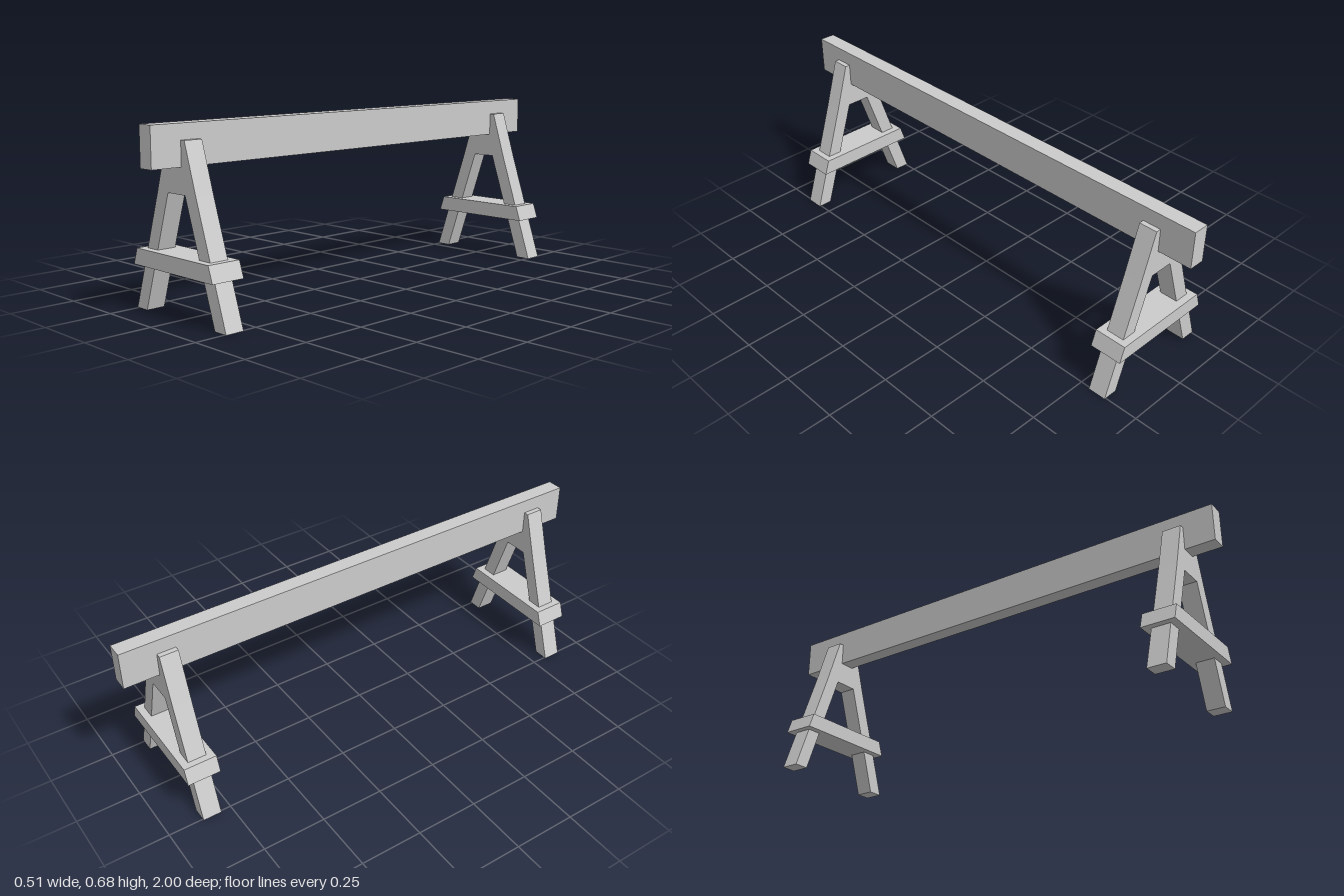
import * as THREE from 'three';

const material = new THREE.MeshStandardMaterial({ color: 0xcccccc, flatShading: true });

// Extrudes an outline mirrored across x = 0, centred on z. Points run along the +x half.
function mirroredPlate(name, half, depth) {
  const left = half.map(([x, y]) => [-x, y]).reverse();
  const shape = new THREE.Shape([...half, ...left].map(([x, y]) => new THREE.Vector2(x, y)));
  const geometry = new THREE.ExtrudeGeometry(shape, { depth, bevelEnabled: false });
  geometry.translate(0, 0, -depth / 2);
  const mesh = new THREE.Mesh(geometry, material);
  mesh.name = name;
  return mesh;
}

function createTrestle(name, z) {
  const trestle = new THREE.Group();
  trestle.name = name;
  // A-shaped legs joined by a solid web, notched at the top for the beam
  trestle.add(mirroredPlate('legFrame', [
    [0.049, 0.44], [0.197, 0], [0.257, 0], [0.11, 0.44],
    [0.052, 0.626], [0.032, 0.626], [0.032, 0.535],
  ], 0.073));
  // Cross rail with slanted ends, wrapping both legs
  trestle.add(mirroredPlate('crossRail', [[0.227, 0.169], [0.206, 0.23]], 0.13));
  trestle.position.z = z;
  return trestle;
}

export function createModel() {
  const model = new THREE.Group();
  model.name = 'sawhorse';

  // Long top beam
  const beam = new THREE.Mesh(new THREE.BoxGeometry(0.064, 0.148, 2), material);
  beam.name = 'beam';
  beam.position.y = 0.609;
  model.add(beam);

  // Supports near each end
  model.add(createTrestle('frontTrestle', 0.845), createTrestle('backTrestle', -0.828));
  return model;
}
